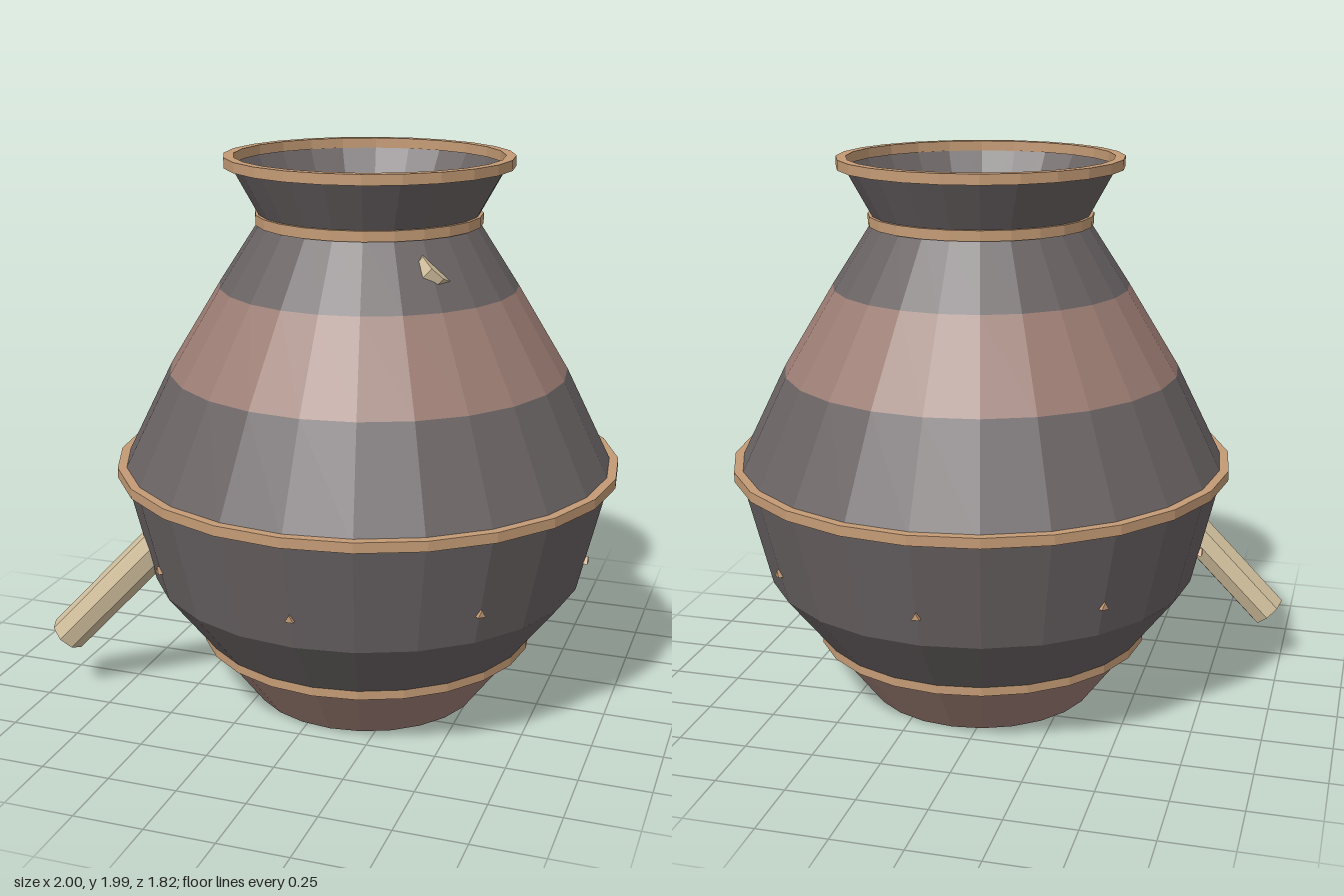
import * as THREE from 'three';

const SIDES = 24;

function flat(name, color, side = THREE.FrontSide) {
  const m = new THREE.MeshStandardMaterial({ color, side, flatShading: true });
  m.name = name;
  return m;
}

export function createModel() {
  const clay = flat('dark clay', 0x6a6364, THREE.DoubleSide);
  const terracotta = flat('dusty terracotta', 0x9c7d74, THREE.DoubleSide);
  const trim = flat('tan trim', 0xc49b75);
  const wood = flat('pale wood', 0xd2c09d);

  const model = new THREE.Group();
  const pot = new THREE.Group();
  pot.name = 'pot';
  pot.position.x = 0.09;
  model.add(pot);

  const add = (parent, name, geometry, material) => {
    const mesh = new THREE.Mesh(geometry, material);
    mesh.name = name;
    parent.add(mesh);
    return mesh;
  };
  const lathe = (points) =>
    new THREE.LatheGeometry(points.map(([r, y]) => new THREE.Vector2(r, y)), SIDES);

  // Open-ended wall, one mesh per coloured band
  add(pot, 'foot', lathe([[0.425, 0], [0.6, 0.235]]), terracotta);
  add(pot, 'belly', lathe([[0.6, 0.235], [0.785, 0.475], [0.885, 0.89], [0.712, 1.24]]), clay);
  add(pot, 'shoulderBand', lathe([[0.712, 1.24], [0.53, 1.54]]), terracotta);
  add(pot, 'neck', lathe([[0.53, 1.54], [0.378, 1.775], [0.488, 1.975]]), clay);

  // Trim rings: name, inner radius, outer radius, centre height
  const rings = [
    ['footRing', 0.58, 0.612, 0.236],
    ['bellyRing', 0.873, 0.908, 0.89],
    ['neckRing', 0.362, 0.4, 1.776],
    ['rimRing', 0.472, 0.507, 1.975],
  ];
  for (const [name, inner, outer, y] of rings) {
    const a = y - 0.018, b = y + 0.018;
    add(pot, name, lathe([[outer, a], [outer, b], [inner, b], [inner, a], [outer, a]]), trim);
  }

  // Eight small pegs driven through the belly wall
  for (let i = 0; i < 8; i++) {
    const pivot = new THREE.Group();
    pivot.name = 'pegPivot';
    pivot.rotation.y = (i * Math.PI) / 4;
    const geometry = new THREE.CylinderGeometry(0.017, 0.017, 0.2, 3);
    geometry.rotateY(Math.PI).rotateX(Math.PI / 2);
    const peg = add(pivot, 'peg', geometry, trim);
    peg.position.set(0, 0.59, 0.725);
    pot.add(pivot);
  }

  // Slanted pole running through the pot
  const low = new THREE.Vector3(-0.95, 0.215, 0.42);
  const high = new THREE.Vector3(0.415, 1.672, 0.275);
  const axis = high.clone().sub(low);
  const pole = add(model, 'pole', new THREE.CylinderGeometry(0.07, 0.07, axis.length(), 8), wood);
  pole.position.copy(low).add(high).multiplyScalar(0.5);
  pole.quaternion.setFromUnitVectors(new THREE.Vector3(0, 1, 0), axis.normalize());

  return model;
}
